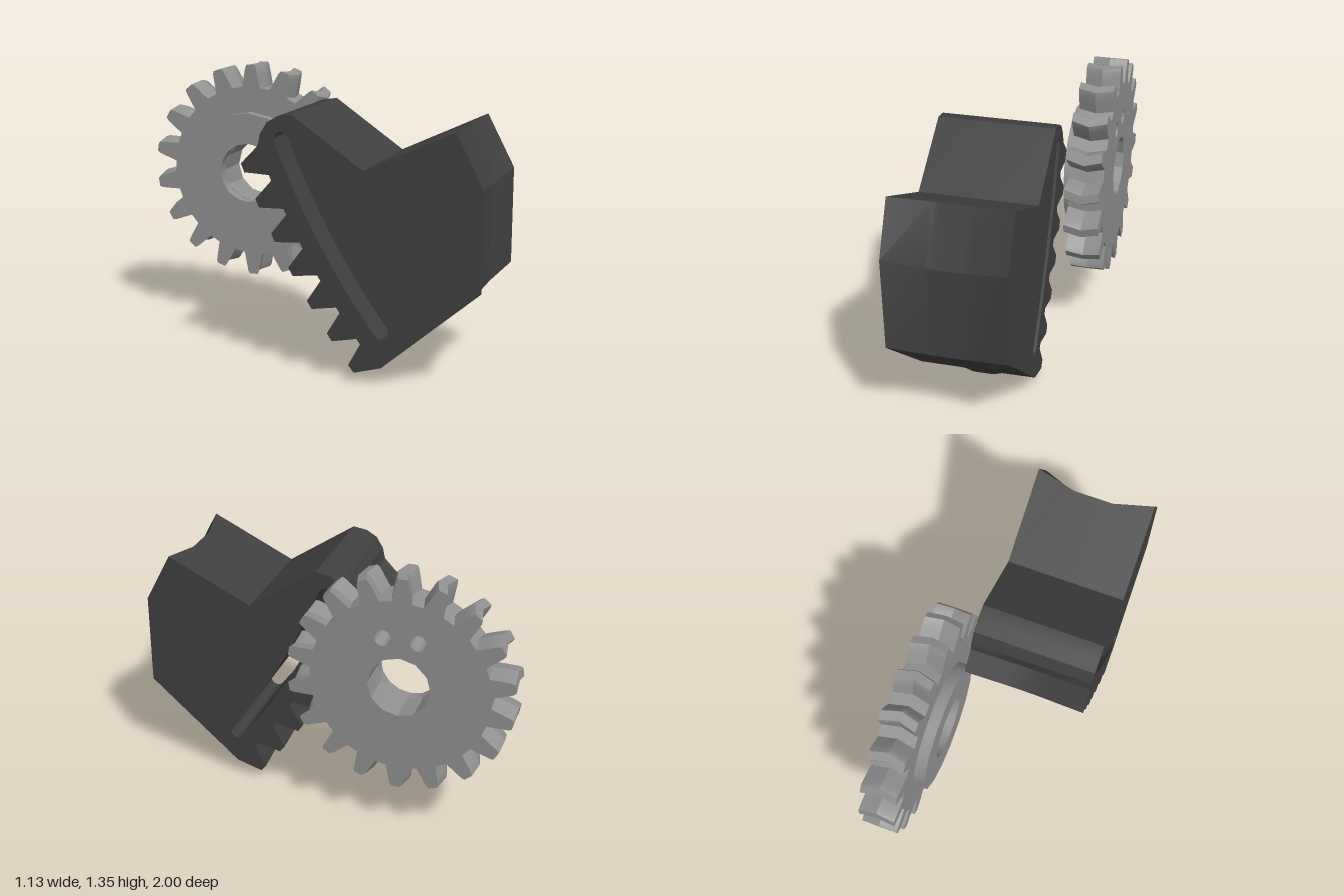
import * as THREE from 'three';
import { toCreasedNormals } from 'three/addons/utils/BufferGeometryUtils.js';

const rad = THREE.MathUtils.degToRad;
const V = (x, y) => new THREE.Vector2(x, y);
const polar = (c, r, deg) => V(c.x + r * Math.cos(rad(deg)), c.y + r * Math.sin(rad(deg)));

// Move every vertex of a geometry by a rule, then shade with sharp edges
function reshape(geometry, rule) {
  const pos = geometry.attributes.position;
  const p = new THREE.Vector3();
  for (let i = 0; i < pos.count; i++) {
    rule(p.fromBufferAttribute(pos, i));
    pos.setXYZ(i, p.x, p.y, p.z);
  }
  return toCreasedNormals(geometry, 0.4);
}

function turn(p, c, deg) {
  const a = rad(deg), dx = p.x - c.x, dy = p.y - c.y;
  p.x = c.x + dx * Math.cos(a) - dy * Math.sin(a);
  p.y = c.y + dx * Math.sin(a) + dy * Math.cos(a);
}

// Block with a curved toothed edge, a V notch on top and a hollowed grip end
function toothedBlock() {
  const c = V(3.192, 2.378), tipR = 3.73, rootR = 3.62;
  const pts = [
    V(0.41, 0.085), V(0.864, 0.48), V(0.864, 0.935), V(0.735, 1.18), V(0.32, 0.985),
    V(-0.015, 1.215), V(-0.085, 1.205), V(-0.136, 1.175), V(-0.17, 1.12),
  ];
  for (let i = 0; i < 7; i++) {
    const a = 202.35 + i * 2.667;
    pts.push(polar(c, rootR, a - 1.1), polar(c, tipR, a - 0.33), polar(c, tipR, a + 0.33));
    if (i < 6) pts.push(polar(c, rootR, a + 1.1));
  }
  const shape = new THREE.Shape(pts);

  // Curved slot running beside the teeth
  const slotR = 3.5, half = 0.036, from = 201.4, to = 217.3, n = 8;
  const slot = [];
  for (let i = 0; i <= n; i++) slot.push(polar(c, slotR + half, from + (to - from) * i / n));
  const endA = polar(c, slotR, to), endB = polar(c, slotR, from);
  for (let i = 1; i < 6; i++) slot.push(polar(endA, half, to + 30 * i));
  for (let i = n; i >= 0; i--) slot.push(polar(c, slotR - half, from + (to - from) * i / n));
  for (let i = 1; i < 6; i++) slot.push(polar(endB, half, from + 180 + 30 * i));
  shape.holes.push(new THREE.Path(slot));

  // Layers across the width: depth, chevron shift of the teeth, hollow of the grip
  const layers = [
    [-0.066, 0, 0], [0.125, 0.81, 1], [0.17, 1, 1], [0.27, 1, 1], [0.316, 0.81, 1], [0.507, 0, 0],
  ];
  const geo = new THREE.ExtrudeGeometry(shape, { depth: 5, steps: 5, bevelEnabled: false });
  return reshape(geo, (p) => {
    const [z, shift, hollow] = layers[Math.round(p.z)];
    p.z = z;
    if (p.x > 0.7) {
      const top = p.y > 1;
      p.x -= (top ? 0.042 : 0.054) * hollow;
      p.y -= (top ? 0.022 : 0.046) * hollow;
    } else if (p.x < 0.4 && p.y < 1.08 && Math.hypot(p.x - c.x, p.y - c.y) > 3.56) {
      turn(p, c, 0.95 * shift);
    }
  });
}

// Round hole path
function hole(x, y, r) {
  return new THREE.Path().absarc(x, y, r, 0, Math.PI * 2, true);
}

// Gear wheel with 18 chevron teeth, a bore and two small holes
function gearWheel() {
  const o = V(0, 0), pts = [];
  for (let i = 0; i < 18; i++) {
    const a = 90 + i * 20;
    for (const [r, d] of [[0.43, -6.3], [0.485, -4.4], [0.525, -3.2], [0.54, -2.3],
      [0.54, 2.3], [0.525, 3.2], [0.485, 4.4], [0.43, 6.3]]) pts.push(polar(o, r, a + d));
  }
  const shape = new THREE.Shape(pts);
  shape.holes.push(hole(0, 0, 0.15), hole(-0.083, 0.24, 0.04), hole(0.083, 0.24, 0.04));
  const geo = new THREE.ExtrudeGeometry(shape, { depth: 0.17, steps: 2, bevelEnabled: false, curveSegments: 6 });
  return reshape(geo, (p) => {
    if (Math.abs(p.z - 0.085) < 0.01 && Math.hypot(p.x, p.y) > 0.4) turn(p, o, -2.5);
  });
}

// Raised ring between wheel and block
function gearHub() {
  const shape = new THREE.Shape().absarc(0, 0, 0.305, 0, Math.PI * 2, false);
  shape.holes.push(hole(0, 0, 0.15));
  const geo = new THREE.ExtrudeGeometry(shape, { depth: 0.053, bevelEnabled: false, curveSegments: 8 });
  return toCreasedNormals(geo, 0.4);
}

export function createModel() {
  const model = new THREE.Group();
  model.name = 'gearAndRack';

  const darkGrey = new THREE.MeshStandardMaterial({ color: 0x404040 });
  darkGrey.name = 'darkGrey';
  const lightGrey = new THREE.MeshStandardMaterial({ color: 0x909090 });
  lightGrey.name = 'lightGrey';

  // Everything is built in one plane, then turned about the vertical
  const assembly = new THREE.Group();
  assembly.name = 'assembly';
  assembly.rotation.y = rad(-54);
  model.add(assembly);

  const add = (name, geometry, material, x = 0, y = 0, z = 0) => {
    const mesh = new THREE.Mesh(geometry, material);
    mesh.name = name;
    mesh.position.set(x, y, z);
    assembly.add(mesh);
  };
  add('toothedBlock', toothedBlock(), darkGrey);
  add('gearWheel', gearWheel(), lightGrey, -0.494, 0.81, -0.287);
  add('gearHub', gearHub(), lightGrey, -0.494, 0.81, -0.118);
  return model;
}
